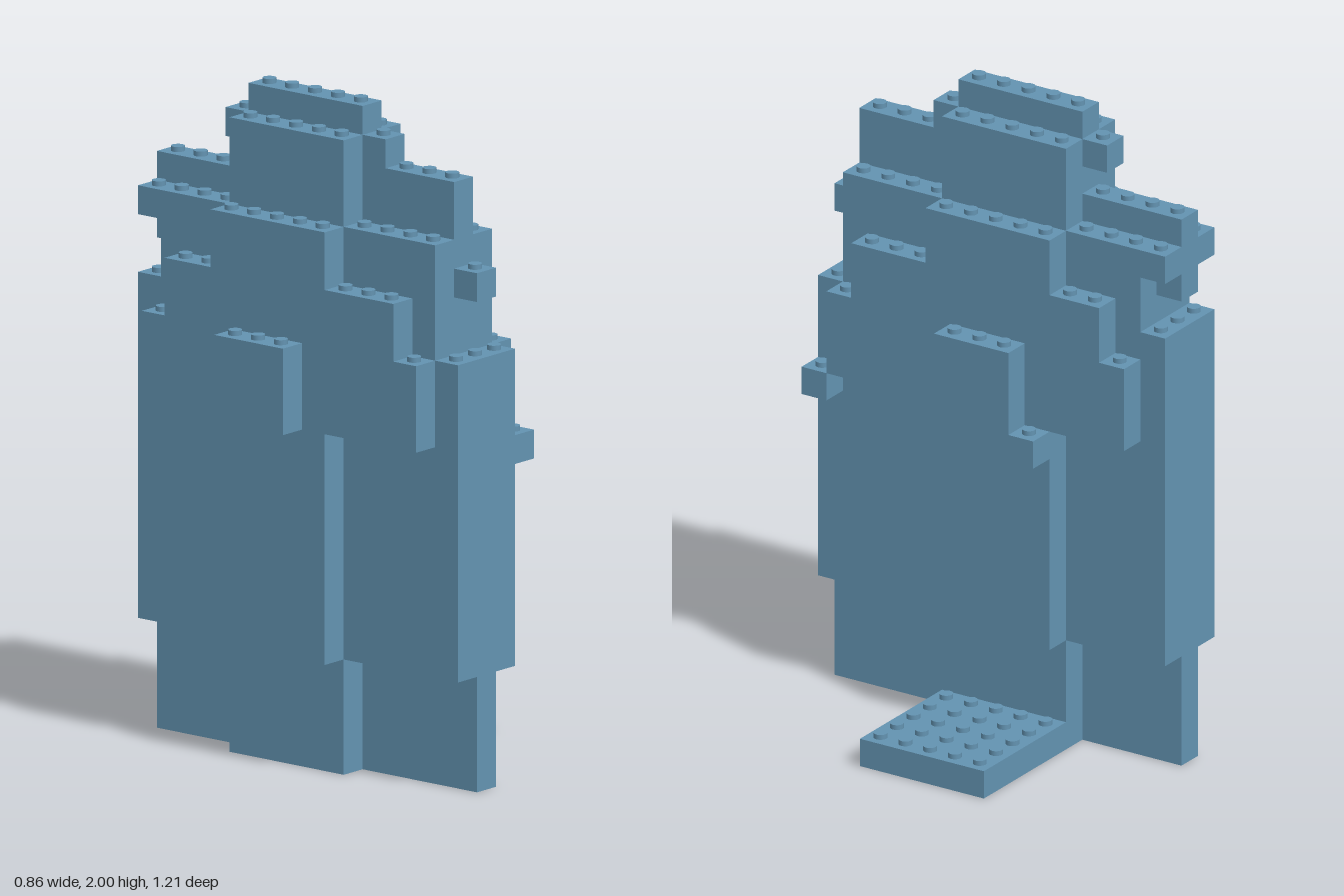
import * as THREE from 'three';

// One grid cell: ten columns (x), fourteen rows (z, back to front), 23 layers (y)
const U = 0.0863, STUD_R = 0.0205, STUD_H = 0.015;

export function createModel() {
  const model = new THREE.Group();
  const blue = new THREE.MeshStandardMaterial({ color: 0x6393b1 });
  blue.name = 'steelBlue';
  const studGeo = new THREE.CylinderGeometry(STUD_R, STUD_R, STUD_H, 16);
  const filled = new Set();
  const key = (x, y, z) => `${x},${y},${z}`;
  const parts = [];

  // Stack of one-layer bricks covering layers y0..y1, columns x0..x1, rows z0..z1 (ends excluded)
  function stack(name, y0, y1, x0, x1, z0, z1) {
    const part = new THREE.Group();
    part.name = name;
    const geo = new THREE.BoxGeometry((x1 - x0) * U, U, (z1 - z0) * U);
    for (let y = y0; y < y1; y++) {
      const brick = new THREE.Mesh(geo, blue);
      brick.name = name + 'Brick';
      brick.position.set(((x0 + x1) / 2 - 5) * U, (y + 0.5) * U, ((z0 + z1) / 2 - 7) * U);
      part.add(brick);
      for (let x = x0; x < x1; x++) for (let z = z0; z < z1; z++) filled.add(key(x, y, z));
    }
    parts.push({ part, y1, x0, x1, z0, z1 });
    model.add(part);
  }

  // The same stack on both sides of the middle column
  function pair(name, y0, y1, x0, x1, z0, z1) {
    stack(name + 'Left', y0, y1, x0, x1, z0, z1);
    stack(name + 'Right', y0, y1, 7 - x1, 7 - x0, z0, z1);
  }

  // Base plate and narrow foot
  stack('basePlate', 0, 1, 5, 10, 4, 9);
  for (const [a, b] of [[0, 4], [4, 8], [8, 9], [9, 14]]) stack('footFin', 0, 4, 3, 4, a, b);
  pair('footSide', 0, 4, 4, 5, 4, 8);
  pair('footSideFront', 0, 4, 4, 5, 8, 9);

  // Tall body with a rib on each side
  for (const [a, b] of [[0, 4], [4, 9], [9, 14]]) stack('body', 4, 15, 2, 5, a, b);
  pair('rib', 4, 19, 5, 6, 4, 8);
  pair('ribFront', 4, 19, 5, 6, 8, 9);

  // Small single bricks sticking out at waist height
  stack('frontPeg', 11, 12, 5, 6, 13, 14);
  stack('sidePeg', 11, 12, 6, 7, 4, 5);

  // Shoulders and arms
  pair('shoulderFront', 12, 15, 5, 6, 9, 13);
  pair('shoulderBack', 12, 15, 5, 6, 1, 4);
  pair('arm', 12, 15, 6, 7, 5, 8);
  pair('cheekFront', 15, 17, 5, 6, 9, 12);
  pair('cheekBack', 15, 17, 5, 6, 2, 4);

  // Head
  stack('headBack', 15, 16, 2, 5, 0, 4);
  stack('headBack', 16, 18, 2, 5, 1, 4);
  stack('headMiddle', 15, 18, 2, 5, 4, 9);
  stack('headFront', 15, 18, 2, 5, 9, 13);
  stack('nose', 17, 18, 3, 4, 13, 14);
  stack('backPeg', 17, 18, 3, 4, 0, 1);
  for (let x = 2; x < 5; x++)
    for (const [a, b] of [[0, 4], [4, 9], [9, 13]]) stack('headTop', 18, 19, x, x + 1, a, b);

  // Crest
  stack('crestBack', 19, 20, 3, 4, 0, 4);
  stack('crestFront', 19, 21, 3, 4, 9, 13);
  stack('crestMiddle', 19, 21, 3, 4, 4, 9);
  pair('crestSide', 19, 22, 4, 5, 4, 9);
  stack('crestRidge', 21, 22, 3, 4, 3, 10);
  stack('crestTop', 22, 23, 3, 4, 4, 9);

  // Round studs on every uncovered top cell
  for (const { part, y1, x0, x1, z0, z1 } of parts) {
    for (let x = x0; x < x1; x++) for (let z = z0; z < z1; z++) {
      if (filled.has(key(x, y1, z))) continue;
      const stud = new THREE.Mesh(studGeo, blue);
      stud.name = 'stud';
      stud.position.set((x - 4.5) * U, y1 * U + STUD_H / 2, (z - 6.5) * U);
      part.add(stud);
    }
  }
  return model;
}
